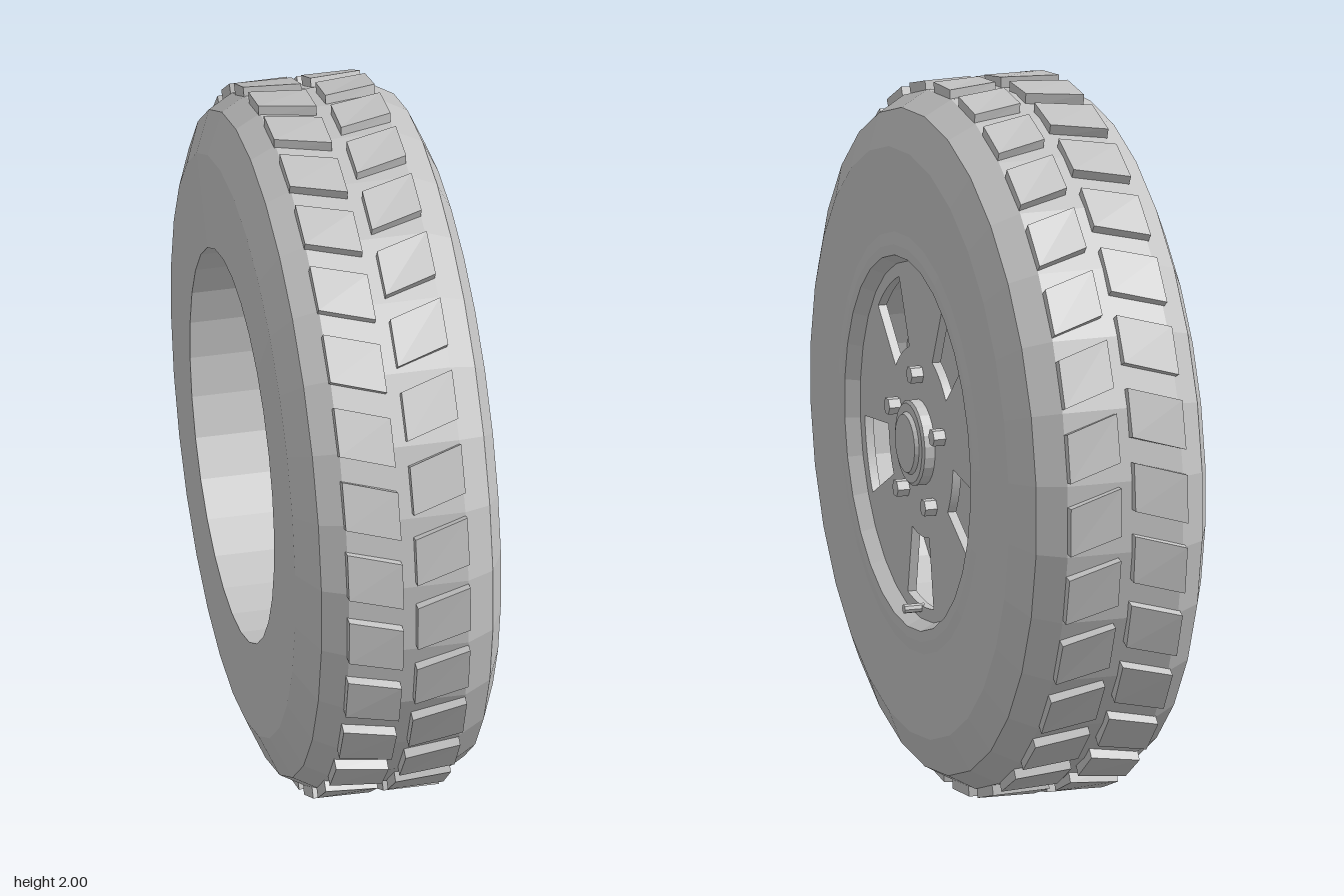
import * as THREE from 'three';

const SEG = 30;
const rad = THREE.MathUtils.degToRad;

export function createModel() {
  const wheel = new THREE.Group();
  wheel.name = 'wheel';
  const grey = new THREE.MeshStandardMaterial({ color: 0xc4c4c4, flatShading: true });
  grey.name = 'plain grey';

  const add = (name, geometry, parent = wheel) => {
    const mesh = new THREE.Mesh(geometry, grey);
    mesh.name = name;
    parent.add(mesh);
    return mesh;
  };

  // Lathe around the x axis; the profile is a list of [x, radius]
  const turned = (profile, segments = SEG) =>
    new THREE.LatheGeometry(profile.map(([x, r]) => new THREE.Vector2(r, x)), segments, Math.PI / segments)
      .rotateZ(-Math.PI / 2).translate(0, 1, 0);

  // Tyre carcass, from the rear opening round to the front bead
  add('tyre', turned([
    [-0.303, 0.555], [-0.30, 0.82], [-0.25, 0.936], [-0.18, 0.975], [0.16, 0.975],
    [0.238, 0.932], [0.283, 0.828], [0.284, 0.59], [0.289, 0.555], [0.289, 0.525],
  ]));

  // Rim: front lip, cavity wall behind the disc, and open rear barrel
  add('rimLip', turned([[0.289, 0.525], [0.25, 0.505], [0.115, 0.505]]));
  add('rimBarrel', turned([[0.11, 0.555], [-0.303, 0.555]]));
  add('rimBackPlate', turned([[0.11, 0], [0.11, 0.555], [0.12, 0.555], [0.12, 0]]));

  // Thin wheel disc with five tapered windows
  const disc = new THREE.Shape();
  disc.absarc(0, 0, 0.507, 0, Math.PI * 2, false);
  for (let i = 0; i < 5; i++) {
    const mid = -Math.PI / 2 + (i * Math.PI * 2) / 5;
    const window = new THREE.Path();
    window.absarc(0, 0, 0.467, mid - 0.231, mid + 0.231, false);
    window.absarc(0, 0, 0.268, mid + 0.265, mid - 0.265, true);
    window.closePath();
    disc.holes.push(window);
  }
  add('wheelDisc', new THREE.ExtrudeGeometry(disc, { depth: 0.025, bevelEnabled: false, curveSegments: 15 })
    .rotateY(Math.PI / 2).translate(0.225, 1, 0));

  // Centre hub with a chamfered edge and raised cap
  add('hub', turned([
    [0.24, 0.12], [0.28, 0.12], [0.286, 0.112], [0.286, 0.088], [0.297, 0.082], [0.297, 0],
  ], 24));

  // Wheel nuts
  for (let i = 0; i < 5; i++) {
    const a = Math.PI / 2 + (i * Math.PI * 2) / 5;
    add('wheelNut', new THREE.CylinderGeometry(0.025, 0.025, 0.045, 6).rotateZ(-Math.PI / 2))
      .position.set(0.262, 1 + 0.195 * Math.sin(a), -0.195 * Math.cos(a));
  }

  // Air valve
  add('valve', new THREE.CylinderGeometry(0.013, 0.013, 0.06, 8).rotateZ(-Math.PI / 2))
    .position.set(0.27, 0.525, 0);

  // Slanted tread block: a box bent onto the tyre, with its lower edge at given angles
  const blockGeometry = (x0, x1, angle0, angle1) => {
    const geometry = new THREE.BoxGeometry(1, 1, 1);
    const p = geometry.attributes.position;
    for (let i = 0; i < p.count; i++) {
      const atEnd = p.getX(i) > 0;
      const r = p.getY(i) > 0 ? 1 : 0.96;
      const a = rad((atEnd ? angle1 : angle0) + (p.getZ(i) < 0 ? 7.9 : 0));
      p.setXYZ(i, atEnd ? x1 : x0, r * Math.sin(a), r * Math.cos(a));
    }
    geometry.computeVertexNormals();
    return geometry;
  };

  // Two staggered rows of tread blocks
  const rows = [
    ['leftTread', blockGeometry(0.01, 0.16, 6.8, 9.5)],
    ['rightTread', blockGeometry(-0.185, -0.03, 5.6, 2.9)],
  ];
  for (const [name, geometry] of rows) {
    const row = new THREE.Group();
    row.name = name;
    row.position.y = 1;
    wheel.add(row);
    for (let i = 0; i < SEG; i++) {
      add('treadBlock', geometry, row).rotation.x = (i * Math.PI * 2) / SEG;
    }
  }
  return wheel;
}
